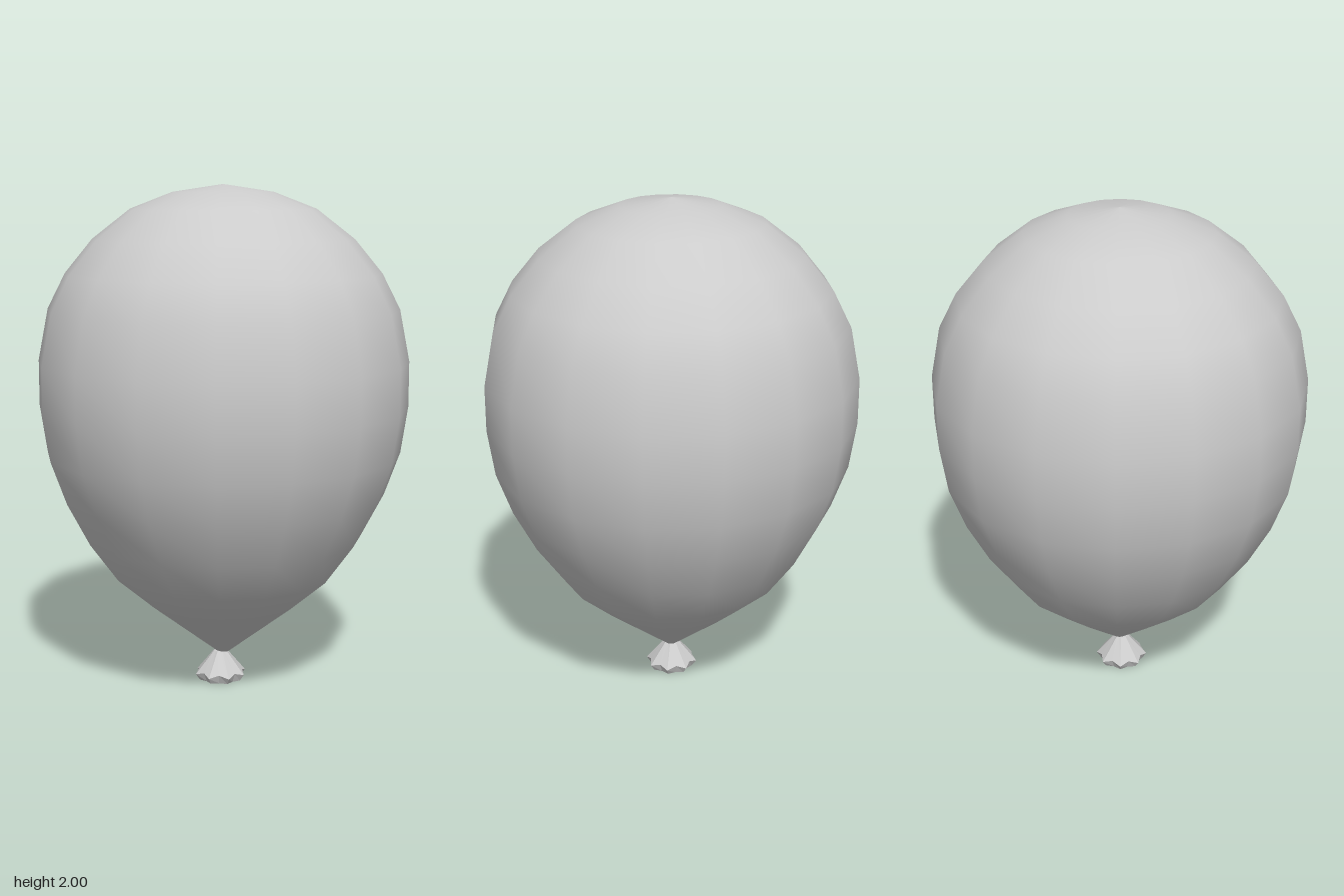
import * as THREE from 'three';

const lathe = (pts, sides, start) => new THREE.LatheGeometry(
  pts.map(([r, y]) => new THREE.Vector2(r, y)), sides, start);

export function createModel() {
  const model = new THREE.Group();
  model.name = 'balloon';

  // Smooth 16-sided teardrop envelope, from the neck up to the crown
  const envelope = new THREE.Mesh(
    lathe([
      [0.024, 0.115], [0.295, 0.325], [0.442, 0.45], [0.555, 0.605], [0.645, 0.775],
      [0.707, 0.945], [0.735, 1.13], [0.735, 1.31], [0.695, 1.515], [0.624, 1.655],
      [0.515, 1.788], [0.365, 1.905], [0.198, 1.97], [0, 2],
    ], 16, THREE.MathUtils.degToRad(13.1)),
    new THREE.MeshStandardMaterial({ color: 0xcccccc }));
  envelope.name = 'envelope';
  model.add(envelope);

  // Faceted, fluted knot flaring out below the neck, closed underneath
  const sides = 16;
  const rings = [[0, 0.008], [0.088, 0], [0.106, 0.025], [0.028, 0.118], [0, 0.122]];
  const geo = lathe(rings, sides, 0.2);
  const pos = geo.attributes.position;
  for (let i = 0; i < pos.count; i++) {
    const pleat = Math.floor(i / rings.length) % 2;
    const ring = i % rings.length;
    if (!pleat) continue;
    // Every second column is pulled in, and its rim lifted, to form the pleats
    const k = ring === 3 ? 0.9 : 0.84;
    pos.setXYZ(i, pos.getX(i) * k, pos.getY(i) + (ring === 2 ? 0.012 : 0), pos.getZ(i) * k);
  }
  geo.computeVertexNormals();
  const knot = new THREE.Mesh(geo, new THREE.MeshStandardMaterial({
    color: 0xcccccc, flatShading: true, side: THREE.DoubleSide }));
  knot.name = 'knot';
  knot.position.set(-0.006, 0, 0.01);
  model.add(knot);

  return model;
}
